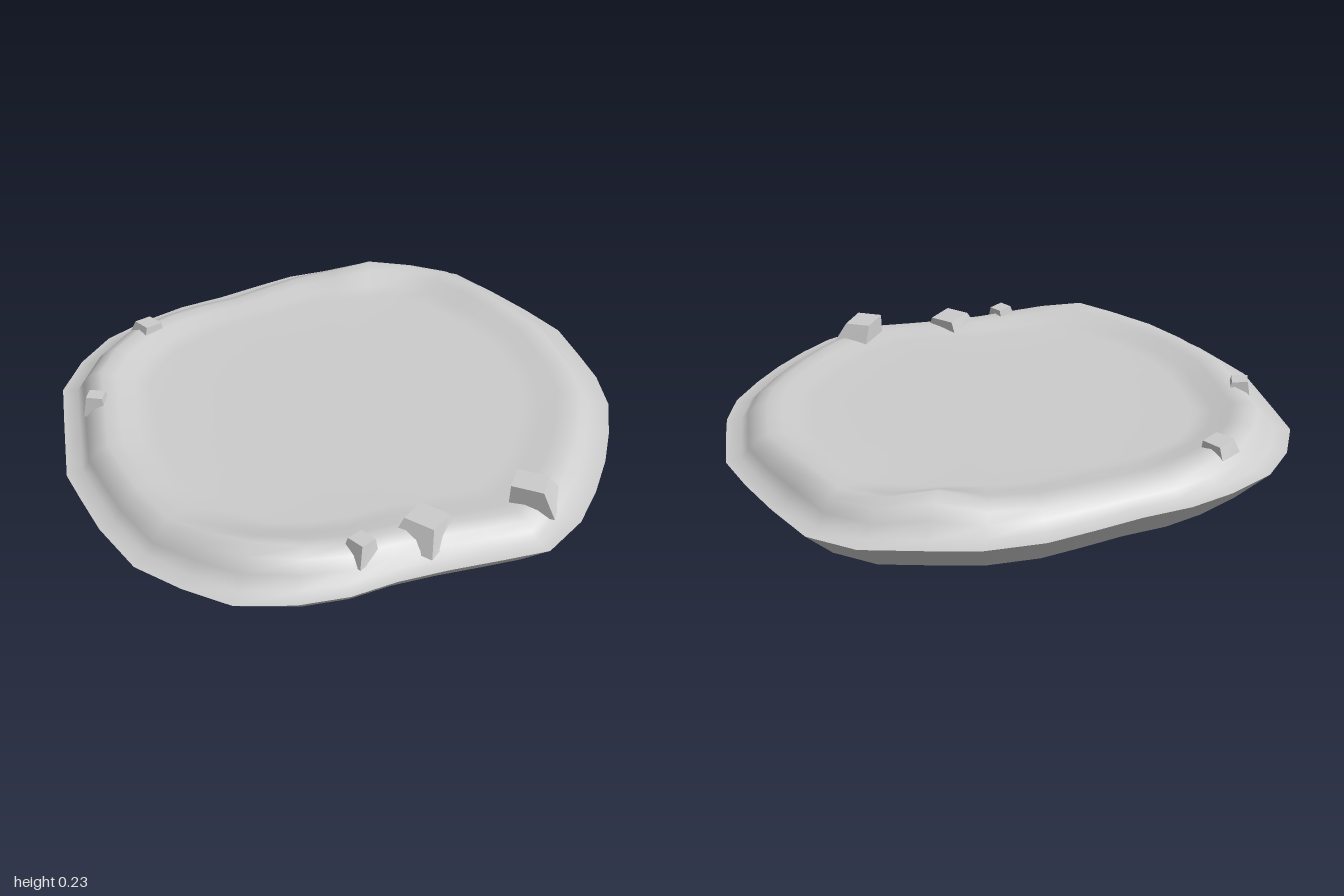
import * as THREE from 'three';

// Outer outline as x, z pairs, going round by increasing angle
const OUTLINE = [
  [-0.2, -0.95], [-0.02, -0.93], [0.13, -0.89], [0.28, -0.82], [0.43, -0.765], [0.57, -0.71],
  [0.72, -0.61], [0.83, -0.49], [0.95, -0.35], [1, -0.19], [0.97, 0], [0.93, 0.18],
  [0.88, 0.35], [0.78, 0.49], [0.69, 0.61], [0.57, 0.72], [0.42, 0.8], [0.28, 0.86],
  [0.12, 0.91], [-0.03, 0.94], [-0.2, 0.93], [-0.32, 0.84], [-0.45, 0.74], [-0.58, 0.65],
  [-0.71, 0.58], [-0.83, 0.48], [-0.94, 0.34], [-0.98, 0.18], [-1, 0.01], [-0.95, -0.19],
  [-0.89, -0.34], [-0.84, -0.46], [-0.74, -0.58], [-0.64, -0.7], [-0.53, -0.83], [-0.37, -0.91],
];
// Crest height by angle in degrees
const CREST = [
  [0, 0.205], [20, 0.18], [45, 0.165], [90, 0.165], [115, 0.17], [140, 0.185], [160, 0.22],
  [180, 0.19], [215, 0.19], [240, 0.2], [265, 0.185], [285, 0.165], [305, 0.175],
  [318, 0.18], [329, 0.222], [342, 0.19], [360, 0.205],
];
const EDGE_Y = 0.11, FLOOR_Y = 0.15;

function crestHeight(x, z) {
  const a = (THREE.MathUtils.radToDeg(Math.atan2(z, x)) + 360) % 360;
  const i = Math.max(1, CREST.findIndex((c) => c[0] >= a));
  const [a0, h0] = CREST[i - 1], [a1, h1] = CREST[i];
  return THREE.MathUtils.lerp(h0, h1, (a - a0) / (a1 - a0));
}

// Joins scaled copies of the outline; each ring is [scale, height(x, z)]
function loft(rings) {
  const n = OUTLINE.length, pos = [], index = [];
  for (const [s, height] of rings)
    for (const [x, z] of OUTLINE) pos.push(x * s, height(x, z), z * s);
  for (let r = 0; r < rings.length - 1; r++)
    for (let i = 0; i < n; i++) {
      const j = (i + 1) % n, a = r * n, b = a + n;
      index.push(a + i, b + j, b + i);
      if (rings[r][0] > 0) index.push(a + i, a + j, b + j);
    }
  const g = new THREE.BufferGeometry();
  g.setAttribute('position', new THREE.Float32BufferAttribute(pos, 3));
  g.setIndex(index);
  g.computeVertexNormals();
  return g;
}

export function createModel() {
  const group = new THREE.Group();
  const ice = new THREE.MeshStandardMaterial({ color: 0xcccccc, side: THREE.DoubleSide });
  ice.name = 'paleGrey';
  const add = (geometry, name) => {
    const mesh = new THREE.Mesh(geometry, ice);
    mesh.name = name;
    group.add(mesh);
    return mesh;
  };
  const flat = (y) => () => y;
  const blend = (base, t) => (x, z) => THREE.MathUtils.lerp(base, crestHeight(x, z), t);

  // Sunken floor, raised rim and narrow ledge
  add(loft([
    [0, flat(FLOOR_Y)], [0.4, flat(FLOOR_Y)], [0.68, flat(FLOOR_Y)], [0.74, blend(FLOOR_Y, 0.25)],
    [0.8, blend(FLOOR_Y, 0.75)], [0.85, blend(EDGE_Y, 1)], [0.89, blend(EDGE_Y, 0.8)],
    [0.92, blend(EDGE_Y, 0.45)], [0.945, flat(EDGE_Y + 0.003)], [1, flat(EDGE_Y)],
  ]), 'rimmedTop');

  // Undercut side wall, open below
  add(loft([[1, flat(EDGE_Y)], [0.89, flat(0)]]), 'sideWall');

  // Tapered blocks on the rim: x, z, width, base y, top y, turn, lean x, lean z
  const blocks = [
    [-0.05, 0.79, 0.15, 0.13, 0.222, 0.35, -0.03, -0.01],
    [-0.4, 0.61, 0.15, 0.13, 0.2, 0.1, 0.02, 0],
    [-0.59, 0.52, 0.085, 0.14, 0.205, -0.1, 0.01, 0],
    [-0.57, -0.6, 0.08, 0.15, 0.215, 0.6, 0, 0],
    [-0.14, -0.81, 0.1, 0.14, 0.205, -0.1, 0.01, 0.01],
  ];
  blocks.forEach(([x, z, w, y0, y1, turn, lx, lz], i) => {
    const g = new THREE.CylinderGeometry(w * 0.47, w * 0.68, y1 - y0, 4).toNonIndexed();
    g.rotateY(Math.PI / 4 + turn);
    const p = g.attributes.position;
    for (let k = 0; k < p.count; k++)
      if (p.getY(k) > 0) p.setXYZ(k, p.getX(k) + lx, p.getY(k) - p.getX(k) * 0.12, p.getZ(k) + lz);
    g.computeVertexNormals();
    add(g, 'block' + (i + 1)).position.set(x, (y0 + y1) / 2, z);
  });
  return group;
}
